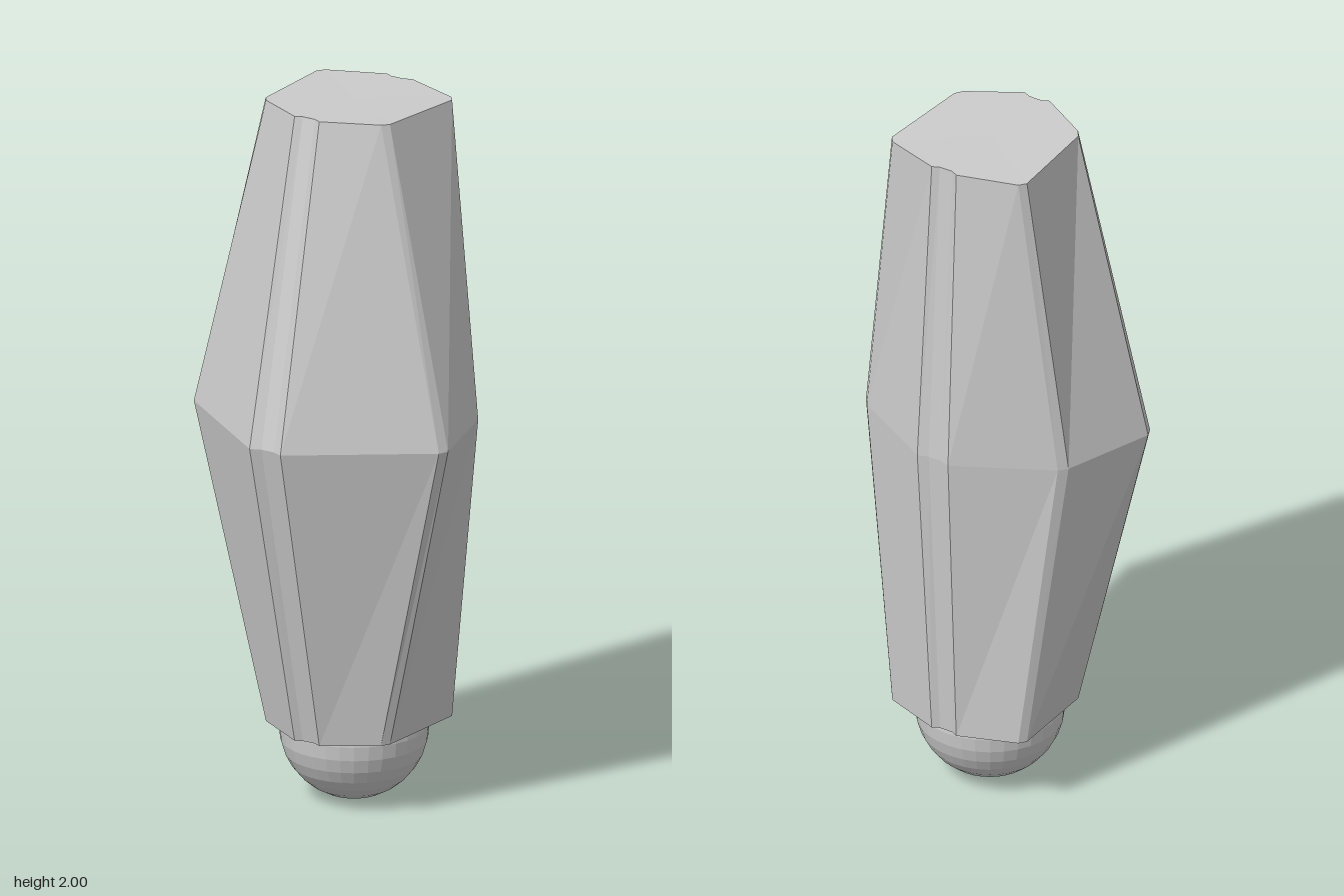
import * as THREE from 'three';

// Half outlines [x, z, lift toward the centre], from the front groove round to the back groove
const WAIST = [[0.02, 0.342], [0.05, 0.355], [0.398, 0.104], [0.41, 0.077],
  [0.33, -0.19], [0.311, -0.214], [0.05, -0.358], [0.02, -0.348]];
const END = [[0.02, 0.14, 0], [0.04, 0.15, 0], [0.187, 0.069, 0.005], [0.202, 0.048, 0.006],
  [0.22, -0.228, 0.012], [0.205, -0.248, 0.012], [0.04, -0.303, 0.008], [0.02, -0.293, 0.008]];

// Mirror a half outline into a closed ring at height y
function ring(half, y, dir = 0) {
  const right = half.map(([x, z, lift = 0]) => new THREE.Vector3(x, y - dir * lift, z));
  const left = right.map((p) => new THREE.Vector3(-p.x, p.y, p.z)).reverse();
  return [...right, ...left];
}

function bodyGeometry() {
  const rings = [ring(END, 0.213, -1), ring(WAIST, 1.105), ring(END, 2, 1)];
  const n = rings[0].length;
  const points = [];
  const topCentre = new THREE.Vector3(0, 1.994, -0.08);
  const bottomCentre = new THREE.Vector3(0, 0.219, -0.08);
  for (let i = 0; i < n; i++) {
    const j = (i + 1) % n;
    // Tapered walls
    for (let k = 0; k < 2; k++) {
      const lo = rings[k], hi = rings[k + 1];
      points.push(lo[i], lo[j], hi[j], lo[i], hi[j], hi[i]);
    }
    // End caps
    points.push(topCentre, rings[2][i], rings[2][j]);
    points.push(bottomCentre, rings[0][j], rings[0][i]);
  }
  const geometry = new THREE.BufferGeometry().setFromPoints(points);
  geometry.computeVertexNormals();
  return geometry;
}

export function createModel() {
  const group = new THREE.Group();
  group.name = 'taperedPod';
  const material = new THREE.MeshStandardMaterial({ color: 0xcccccc, flatShading: true });

  // Faceted body with a groove down the front and back
  const body = new THREE.Mesh(bodyGeometry(), material);
  body.name = 'body';

  // Ball set into the lower end
  const ball = new THREE.Mesh(new THREE.SphereGeometry(0.204, 32, 16), material);
  ball.name = 'ball';
  ball.position.set(0, 0.204, -0.08);

  group.add(body, ball);
  return group;
}
